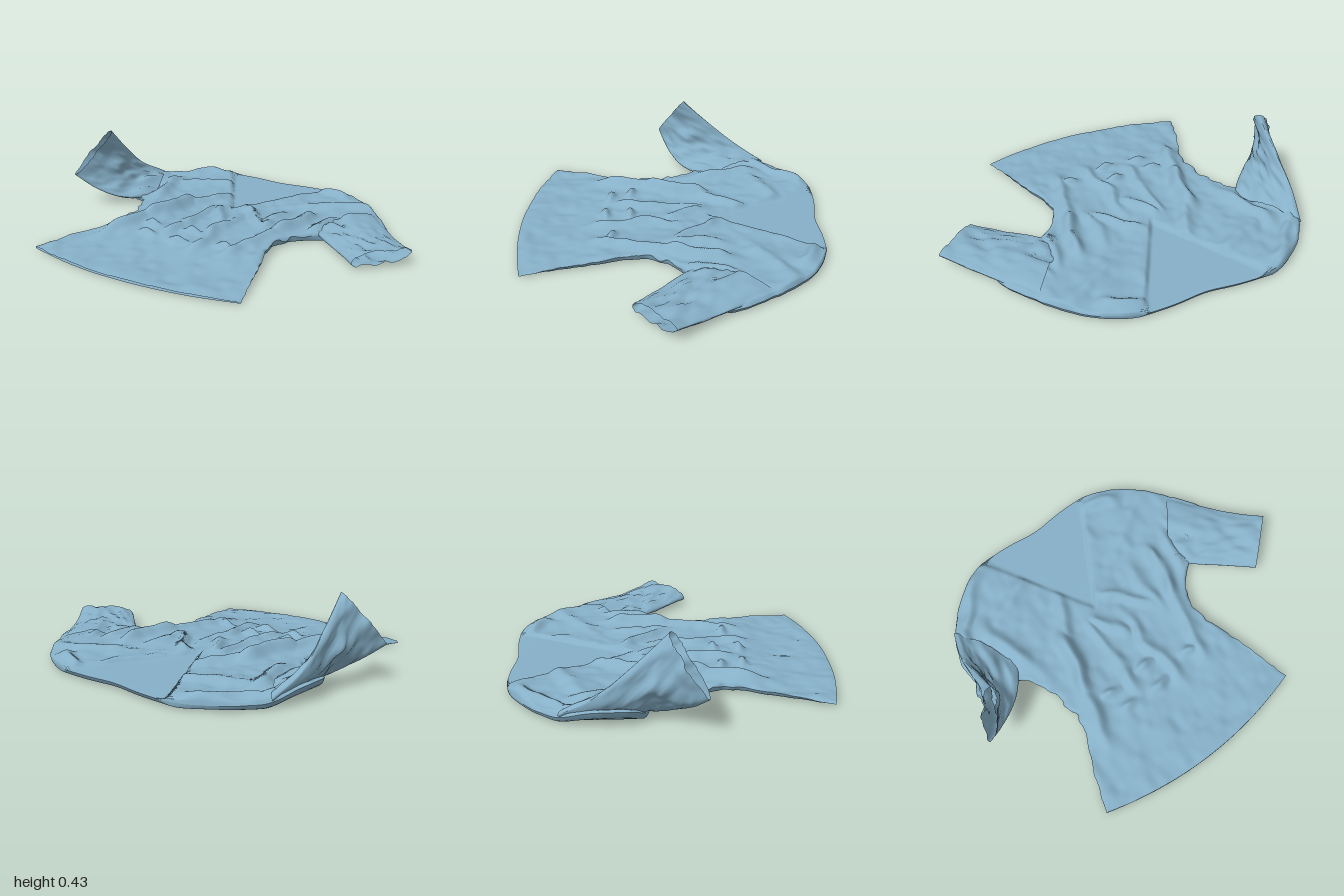
import * as THREE from 'three';

const material = new THREE.MeshStandardMaterial({ color: 0x86b0c8, side: THREE.DoubleSide });
const { smoothstep, lerp, clamp } = THREE.MathUtils;

// side outlines of the body as [z, x]
const LEFT_EDGE = [[-0.81, -0.4], [-0.79, -0.51], [-0.7, -0.66], [-0.55, -0.8], [-0.4, -0.86], [-0.25, -0.87],
  [-0.16, -0.8], [-0.1, -0.66], [0.05, -0.57], [0.27, -0.54], [0.5, -0.63], [0.73, -0.71]];
const RIGHT_EDGE = [[-0.81, 0.23], [-0.77, 0.36], [-0.7, 0.48], [-0.6, 0.58], [-0.45, 0.7], [-0.3, 0.78],
  [-0.22, 0.75], [-0.15, 0.6], [-0.09, 0.48], [0.1, 0.34], [0.4, 0.41], [0.73, 0.5]];

// main folds as [x1, z1, x2, z2, width, height]
const FOLDS = [
  [-0.24, -0.36, -0.35, -0.14, 0.035, 0.03],
  [-0.37, -0.12, -0.4, 0.12, 0.04, 0.065],
  [-0.4, 0.12, -0.47, 0.36, 0.045, 0.045],
  [-0.18, -0.1, -0.19, 0.25, 0.03, 0.025],
  [-0.12, -0.12, -0.07, 0, 0.025, 0.03],
  [-0.01, 0, 0.02, 0.35, 0.035, 0.028],
  [0.02, -0.2, 0.13, -0.08, 0.03, 0.03],
  [0.18, -0.24, 0.2, -0.08, 0.03, 0.028],
  [0.33, -0.23, 0.31, -0.05, 0.035, 0.055],
  [0.31, -0.03, 0.22, 0.32, 0.035, 0.025],
  [0.46, -0.28, 0.43, -0.14, 0.025, 0.03],
  [0.55, -0.33, 0.56, -0.2, 0.025, 0.025],
  [-0.5, -0.49, -0.36, -0.56, 0.045, 0.02],
  [0.28, -0.45, 0.46, -0.56, 0.045, 0.02],
  [-0.64, -0.42, -0.6, -0.2, 0.045, 0.04],
  [-0.77, -0.48, -0.79, -0.28, 0.035, 0.03],
  [-0.54, -0.72, -0.72, -0.56, 0.03, 0.025],
  [0.24, -0.73, 0.36, -0.69, 0.03, 0.025],
];
// small gathers at the waist
const GATHERS = [[-0.31, 0.25], [-0.27, 0.35], [-0.08, 0.22], [-0.08, 0.36], [0.16, 0.32]];

const outline = points => new THREE.CatmullRomCurve3(points.map(([z, x]) => new THREE.Vector3(x, 0, z)))
  .getPoints(300);
const leftOutline = outline(LEFT_EDGE), rightOutline = outline(RIGHT_EDGE);

function edgeAt(points, z) {
  let i = 1;
  while (i < points.length - 1 && points[i].z < z) i++;
  const p = points[i - 1], q = points[i];
  return lerp(p.x, q.x, clamp((z - p.z) / (q.z - p.z), 0, 1));
}

// seeded value noise in the plane
function hash(i, j) {
  const s = Math.sin(i * 127.1 + j * 311.7) * 43758.5453;
  return s - Math.floor(s);
}
function noise(x, z) {
  const i = Math.floor(x), j = Math.floor(z);
  const u = smoothstep(x - i, 0, 1), v = smoothstep(z - j, 0, 1);
  return lerp(lerp(hash(i, j), hash(i + 1, j), u), lerp(hash(i, j + 1), hash(i + 1, j + 1), u), v) - 0.5;
}

// soft ridges with wavy lines and long fading ends
function foldHeight(px, pz) {
  const x = px + 0.05 * noise(px * 7, pz * 7), z = pz + 0.04 * noise(px * 8 + 30, pz * 8);
  let h = 0;
  for (const [x1, z1, x2, z2, w, a] of FOLDS) {
    const length = Math.hypot(x2 - x1, z2 - z1);
    const dx = (x2 - x1) / length, dz = (z2 - z1) / length;
    const along = (x - x1) * dx + (z - z1) * dz;
    const across = ((x - x1) * dz - (z - z1) * dx) / w;
    const past = (along - clamp(along, 0, length)) / (2.2 * w);
    h = Math.max(h, a * Math.exp(-across * across - past * past));
  }
  for (const [gx, gz] of GATHERS) {
    const dx = (x - gx) / 0.05, dz = (z - gz) / 0.022;
    h = Math.max(h, 0.035 * Math.exp(-dx * dx - dz * dz));
  }
  return h;
}

// signed depth inside the V neck
function neckDepth(x, z) {
  const t = (z + 0.2) / -0.55;
  return Math.min(x - lerp(-0.1, -0.42, t), lerp(-0.1, 0.2, t) - x);
}

function topHeight(x, z) {
  const base = lerp(0.053, 0.028, smoothstep(z, 0.2, 0.7)) + 0.014 * noise(x * 9, z * 7) + 0.01 * noise(x * 22, z * 18);
  const backInside = 0.036 + 0.004 * noise(x * 6, z * 6);
  return lerp(base + foldHeight(x, z), backInside, smoothstep(neckDepth(x, z), -0.014, 0.012));
}

// indexed grid surface from a point rule
function gridGeometry(cols, rows, point) {
  const pos = [], index = [];
  for (let r = 0; r <= rows; r++)
    for (let c = 0; c <= cols; c++) pos.push(...point(c / cols, r / rows));
  for (let r = 0; r < rows; r++)
    for (let c = 0; c < cols; c++) {
      const a = r * (cols + 1) + c, b = a + cols + 1;
      index.push(a, b, a + 1, b, b + 1, a + 1);
    }
  const g = new THREE.BufferGeometry();
  g.setAttribute('position', new THREE.Float32BufferAttribute(pos, 3));
  g.setIndex(index);
  g.computeVertexNormals();
  return g;
}

function bodyPoint(u, v, upper) {
  const row = lerp(-0.81, 0.73, v);
  const l = edgeAt(leftOutline, row), r = edgeAt(rightOutline, row);
  // crumpled side seams
  const waist = Math.exp(-(((row - 0.1) / 0.2) ** 2));
  const crumple = (0.012 + 0.035 * waist) * noise(row * 26, u < 0.5 ? 3.3 : 8.6);
  const s = 2 * u - 1;
  const flat = lerp(l, r, u);
  const x = flat + crumple * s ** 6;
  const neckDip = 0.02 * Math.exp(-(((x + 0.1) / 0.13) ** 2)) * (1 - smoothstep(v, 0, 0.08));
  const z = row + neckDip + 0.09 * (1 - s * s) * smoothstep(v, 0.55, 1);
  // rounded towards sides and shoulders, thin at the hem
  const side = clamp(Math.min(flat - l, r - flat) / 0.03, 0, 1);
  const end = clamp(Math.min(v / 0.018, 0.2 + (1 - v) / 0.08), 0, 1);
  const round = Math.min(Math.sqrt(side * (2 - side)), Math.sqrt(end * (2 - end)));
  const rim = lerp(0.035, 0.014, smoothstep(row, 0.5, 0.73)) + 0.03 * waist * (noise(row * 22, s) + 0.3);
  const y = upper ? topHeight(x, z) : 0.011 + 0.006 * noise(x * 7, z * 7);
  // the side below the raised sleeve lifts off the floor
  const lift = 0.6 * Math.max(0, -0.78 - x) * smoothstep(z, -0.65, -0.4);
  return [x, Math.max(0.003, lerp(rim, y, round)) + lift, z];
}

// flattened open tube between an upper and a lower edge path
function sleeveGeometry(upperPath, lowerPath, thickness, seed) {
  const toCurve = pts => new THREE.CatmullRomCurve3(pts.map(p => new THREE.Vector3(...p)));
  const P = toCurve(upperPath), Q = toCurve(lowerPath);
  return gridGeometry(56, 44, (u, v) => {
    const p = P.getPoint(v), q = Q.getPoint(v);
    const half = p.clone().sub(q).multiplyScalar(0.5), mid = p.clone().add(q).multiplyScalar(0.5);
    const n = P.getTangent(v).add(Q.getTangent(v)).cross(half).normalize();
    const a = u * Math.PI * 2, c = Math.cos(a);
    const wrinkle = 0.025 * noise(c * 3 + seed, v * 6 + (Math.sin(a) > 0 ? 0 : 20)) + 0.014 * noise(c * 9 + seed, v * 9);
    const k = mid.addScaledVector(half, c).addScaledVector(n, Math.sin(a) * (thickness + wrinkle * 1.3));
    return [k.x, Math.max(0.012, k.y), k.z];
  });
}

export function createModel() {
  const group = new THREE.Group();
  const add = (name, geometry) => {
    const mesh = new THREE.Mesh(geometry, material);
    mesh.name = name;
    group.add(mesh);
  };

  // lying front and back of the shirt
  add('shirtFront', gridGeometry(150, 160, (u, v) => bodyPoint(u, v, true)));
  add('shirtBack', gridGeometry(130, 140, (u, v) => bodyPoint(1 - u, v, false)));

  // sleeve lying flat
  add('flatSleeve', sleeveGeometry(
    [[0.64, 0.04, -0.51], [0.77, 0.045, -0.33], [0.88, 0.055, -0.19], [0.995, 0.08, -0.06]],
    [[0.4, 0.04, -0.18], [0.5, 0.045, -0.08], [0.63, 0.045, 0.03], [0.77, 0.04, 0.15]], 0.035, 1.7));

  // sleeve folded upright
  add('raisedSleeve', sleeveGeometry(
    [[-0.81, 0.055, -0.54], [-0.85, 0.15, -0.38], [-0.84, 0.29, -0.21], [-0.82, 0.44, -0.045]],
    [[-0.62, 0.04, -0.18], [-0.74, 0.05, -0.04], [-0.86, 0.1, 0.045], [-0.98, 0.19, 0.11]], 0.035, 5.2));

  return group;
}
